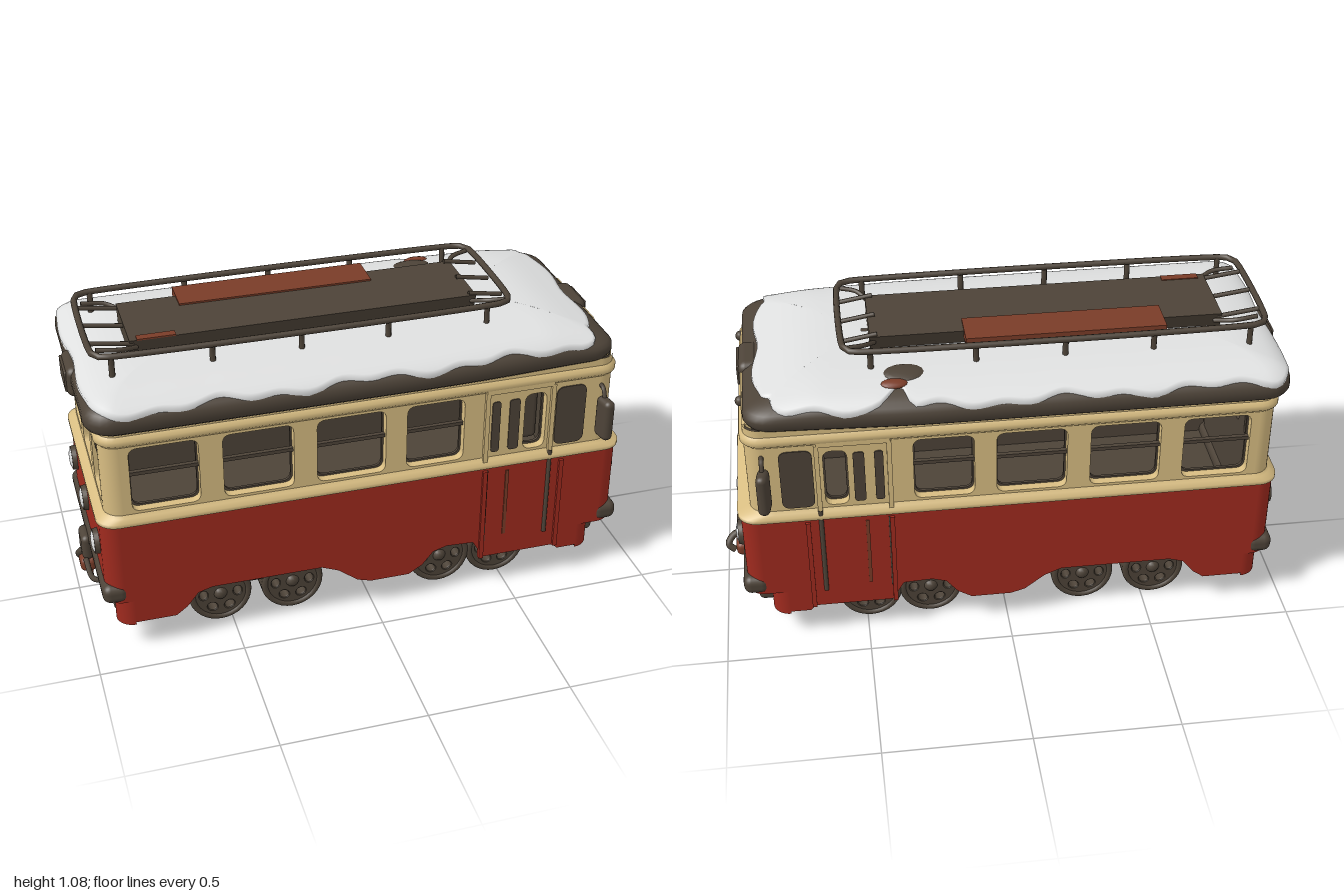
import * as THREE from 'three';
import { RoundedBoxGeometry } from 'three/addons/geometries/RoundedBoxGeometry.js';

const paint = (name, color, side = THREE.FrontSide) => {
  const m = new THREE.MeshStandardMaterial({ color, side });
  m.name = name;
  return m;
};

export function createModel() {
  const red = paint('red', 0x9f2a1e), cream = paint('cream', 0xd8bd82);
  const dark = paint('dark brown', 0x4d4338, THREE.DoubleSide);
  const snow = paint('snow white', 0xdfe0e0), rust = paint('rust', 0x7a3c28);
  const model = new THREE.Group();
  model.name = 'tram';

  const add = (name, geo, mat, x = 0, y = 0, z = 0) => {
    const m = new THREE.Mesh(geo, mat);
    m.name = name;
    m.position.set(x, y, z);
    model.add(m);
    return m;
  };
  const box = (name, mat, x0, x1, y0, y1, z0, z1, r = 0) => {
    const s = [x1 - x0, y1 - y0, z1 - z0];
    const g = r ? new RoundedBoxGeometry(...s, 3, r) : new THREE.BoxGeometry(...s);
    return add(name, g, mat, (x0 + x1) / 2, (y0 + y1) / 2, (z0 + z1) / 2);
  };
  const tube = (name, pts, r, mat = dark, closed = false) => add(name, new THREE.TubeGeometry(
    new THREE.CatmullRomCurve3(pts.map(p => new THREE.Vector3(...p)), closed, 'centripetal'),
    pts.length * 6, r, 8, closed), mat);
  const roundRect = (x0, x1, y0, y1, r, g = 0) => {
    x0 -= g; x1 += g; y0 -= g; y1 += g;
    const p = new THREE.Shape();
    p.moveTo(x0 + r, y0); p.lineTo(x1 - r, y0); p.quadraticCurveTo(x1, y0, x1, y0 + r);
    p.lineTo(x1, y1 - r); p.quadraticCurveTo(x1, y1, x1 - r, y1);
    p.lineTo(x0 + r, y1); p.quadraticCurveTo(x0, y1, x0, y1 - r);
    p.lineTo(x0, y0 + r); p.quadraticCurveTo(x0, y0, x0 + r, y0);
    return p;
  };
  const panel = (pts, holes, depth, grow = 0) => {
    const s = new THREE.Shape(pts.map(p => new THREE.Vector2(...p)));
    s.holes = holes.map(h => roundRect(...h, 0.03, grow));
    return new THREE.ExtrudeGeometry(s, { depth, bevelEnabled: false, curveSegments: 6 });
  };
  const rect = (x0, x1, y0, y1) => [[x0, y0], [x1, y0], [x1, y1], [x0, y1]];

  // Rounded-rectangle plan, as points running from +x towards +z
  const ring = (x0, x1, hz, r) => {
    const corners = [[x1 - r, hz - r], [x0 + r, hz - r], [x0 + r, r - hz], [x1 - r, r - hz]];
    const out = [];
    corners.forEach(([cx, cz], k) => {
      for (let i = 0; i <= 6; i++) {
        const a = (k + i / 6) * Math.PI / 2;
        out.push([cx + r * Math.cos(a), cz + r * Math.sin(a)]);
      }
      const [nx, nz] = corners[(k + 1) % 4], a = (k + 1) * Math.PI / 2, n = k % 2 ? 16 : 70;
      const [px, pz] = out[out.length - 1];
      const qx = nx + r * Math.cos(a), qz = nz + r * Math.sin(a);
      for (let i = 1; i < n; i++) out.push([px + (qx - px) * i / n, pz + (qz - pz) * i / n]);
    });
    return out;
  };
  const loft = rows => {
    const n = rows[0].length, idx = [];
    for (let j = 0; j < rows.length - 1; j++) for (let i = 0; i < n; i++) {
      const a = j * n + i, c = j * n + (i + 1) % n;
      idx.push(a, a + n, c, a + n, c + n, c);
    }
    const g = new THREE.BufferGeometry();
    g.setAttribute('position', new THREE.Float32BufferAttribute(rows.flat(2), 3));
    g.setIndex(idx);
    g.computeVertexNormals();
    return g;
  };

  // Side walls with a skirt cut around the bogies; the upper wall is set back
  const winY = [0.56, 0.8];
  const sideWins = [[-0.83, -0.6], [-0.52, -0.28], [-0.2, 0.04], [0.115, 0.32]].map(w => [...w, ...winY]);
  const sideHoles = [...sideWins, [0.54, 0.62, 0.56, 0.78]];
  const skirt = [[-0.88, 0.2], [-0.85, 0.2], [-0.85, 0.11], [-0.71, 0.11], [-0.67, 0.14], [-0.63, 0.19], [-0.58, 0.205],
    [-0.19, 0.205], [-0.13, 0.18], [-0.06, 0.125], [-0.01, 0.11], [0.13, 0.11], [0.18, 0.14], [0.22, 0.19], [0.27, 0.205],
    [0.37, 0.2], [0.41, 0.13], [0.68, 0.13], [0.7, 0.11], [0.77, 0.11], [0.77, 0.2], [0.85, 0.2], [0.85, 0.515], [-0.88, 0.515]];
  for (const s of [1, -1]) {
    const wall = (name, geo, mat, outer, depth) => add(name, geo, mat, 0, 0, s > 0 ? outer - depth : -outer);
    wall('lowerSide', panel(skirt, [], 0.03), red, 0.39, 0.03);
    wall('lowerLining', panel(skirt, [], 0.01), dark, 0.359, 0.01);
    wall('upperSide', panel(rect(-0.86, 0.815, 0.515, 0.88), sideHoles, 0.03), cream, 0.38, 0.03);
    wall('upperLining', panel(rect(-0.86, 0.815, 0.515, 0.88), sideHoles, 0.01, -0.006), dark, 0.349, 0.01);
    for (const [x0, x1] of sideWins)
      box('sideWindowBar', dark, x0, x1, 0.69, 0.703, s * 0.36 - 0.008, s * 0.36 + 0.008);

    // Folding door and cab window
    const plate = (name, mat, x0, x1, y0, y1, t, z) => box(name, mat, x0, x1, y0, y1, s * z - t / 2, s * z + t / 2);
    for (const [x, w] of [[0.435, 0.015], [0.502, 0.019]])
      wall('doorSlit', new THREE.ExtrudeGeometry(roundRect(x - w, x + w, 0.57, 0.77, 0.012),
        { depth: 0.006, bevelEnabled: false }), dark, 0.384, 0.006);
    wall('cabWindow', new THREE.ExtrudeGeometry(roundRect(0.655, 0.765, 0.56, 0.79, 0.03),
      { depth: 0.006, bevelEnabled: false }), dark, 0.384, 0.006);
    plate('doorHeader', cream, 0.395, 0.64, 0.805, 0.822, 0.024, 0.38);
    for (const x of [0.4, 0.685])
      plate('doorPostLower', red, x - 0.008, x + 0.008, 0.13, 0.5, 0.02, 0.39);
    for (const x of [0.4, 0.64])
      plate('doorPostUpper', cream, x - 0.008, x + 0.008, 0.53, 0.81, 0.024, 0.38);
    plate('doorSeam', rust, 0.478, 0.49, 0.22, 0.49, 0.008, 0.39);
    plate('doorEdge', dark, 0.408, 0.412, 0.2, 0.5, 0.008, 0.39);
    tube('doorRail', [[0.64, 0.2, s * 0.392], [0.64, 0.55, s * 0.392]], 0.008);
    // Mirror on a bent arm
    const mirror = add('mirror', new RoundedBoxGeometry(0.04, 0.155, 0.075, 4, 0.019), dark, 0.82, 0.668, s * 0.428);
    mirror.rotation.y = s * 0.15;
    tube('mirrorArm', [[0.82, 0.775, s * 0.375], [0.82, 0.77, s * 0.4], [0.82, 0.73, s * 0.42]], 0.008);
  }

  // End walls, lamps, bumpers and couplers
  const endHoles = [[-0.31, -0.155], [-0.1, 0.1], [0.155, 0.31]].map(w => [...w, 0.565, 0.79]);
  const endTop = [[-0.32, 0.515], [0.32, 0.515], [0.32, 0.87], [0.22, 0.9], [0.16, 0.92], [-0.16, 0.92], [-0.22, 0.9], [-0.32, 0.87]];
  for (const s of [1, -1]) {
    const low = s > 0 ? 0.91 : -0.94, up = s > 0 ? 0.875 : -0.92;
    const span = (X, a, b) => (s > 0 ? [X + a, X + b] : [X - b, X - a]);
    const end = (name, geo, mat, X, d0, d1) => add(name, geo.rotateY(Math.PI / 2), mat, span(X, d0, d1)[0], 0, 0);
    end('lowerEnd', panel(rect(-0.33, 0.33, 0.2, 0.515), [], 0.03), red, low, -0.03, 0);
    end('upperEnd', panel(endTop, endHoles, 0.03), cream, up, -0.03, 0);
    end('endLining', panel(rect(-0.33, 0.33, 0.2, 0.88), endHoles, 0.01, -0.006), dark, up, -0.041, -0.031);
    for (const [a, b] of endHoles)
      box('endWindowBar', dark, ...span(up, -0.025, -0.01), 0.692, 0.706, a, b);
    for (const z of [-0.27, 0, 0.27]) {
      const rim = add('headlightRim', new THREE.CylinderGeometry(0.043, 0.048, 0.03, 24), dark, low + s * 0.003, 0.39, z);
      rim.rotation.z = -s * Math.PI / 2;
      const lens = add('headlightLens', new THREE.SphereGeometry(0.037, 20, 8, 0, Math.PI * 2, 0, Math.PI / 2), snow, low + s * 0.017, 0.39, z);
      lens.rotation.z = -s * Math.PI / 2;
      lens.scale.y = 0.25;
    }
    const boxOut = s > 0 ? 0.008 : 0.055;
    box('destinationBox', dark, ...span(up, -0.07, boxOut), 0.84, 0.95, -0.085, 0.085, 0.028);
    box('destinationPane', dark, ...span(up, boxOut - 0.006, boxOut + 0.005), 0.86, 0.935, -0.065, 0.065, 0.005);
    for (const [z, m, r] of [[0.24, dark, 0.018], [0.14, rust, 0.015], [-0.18, dark, 0.018]])
      add('markerLamp', new THREE.SphereGeometry(r, 12, 8), m, up + s * 0.004, 0.872, z);
    box('bumper', dark, ...span(low, -0.075, 0.014), 0.2, 0.27, -0.395, 0.395, 0.028);
    box('endBeam', dark, ...span(low, -0.14, -0.03), 0.095, 0.21, -0.3, 0.3, 0.02);
    box('couplerHead', dark, ...span(low, 0, 0.04), 0.15, 0.25, -0.05, 0.05, 0.02);
    box('couplerHook', rust, ...span(low, -0.01, 0.05), 0.1, 0.155, -0.05, 0.05, 0.02);
    const at = d => low + s * d, reach = s > 0 ? 0.077 : 0.047;
    tube('couplerArm', [[at(0), 0.18, 0], [at(reach * 0.7), 0.17, 0], [at(reach), 0.14, -0.02], [at(reach * 0.7), 0.12, -0.03]], 0.013);
    tube('couplerHose', [[at(-0.02), 0.17, 0.2], [at(0.02), 0.14, 0.14], [at(0.03), 0.16, 0.05]], 0.01);
    tube('couplerPin', [[at(0.01), 0.12, 0], [at(0.01), 0.045, 0]], 0.006, rust);
    // Rounded corner posts, with the skirt corner set back below the bumper
    for (const t of [1, -1]) {
      const q = s > 0 ? (t > 0 ? 0 : 1) : (t > 0 ? 3 : 2);
      const post = (name, mat, r, y0, y1, X, z) => add(name, new THREE.CylinderGeometry(r, r, y1 - y0, 8, 1, true,
        q * Math.PI / 2, Math.PI / 2), mat, X - s * 0.06, (y0 + y1) / 2, t * z);
      const skirtX = s > 0 ? 0.83 : -0.91;
      post('skirtCorner', red, 0.06, 0.1, 0.22, skirtX, 0.33);
      post('skirtCornerLining', dark, 0.05, 0.1, 0.22, skirtX, 0.33);
      post('lowerCorner', red, 0.06, 0.2, 0.515, low, 0.33);
      post('lowerCornerLining', dark, 0.05, 0.2, 0.515, low, 0.33);
      post('upperCorner', cream, 0.06, 0.515, 0.88, up, 0.32);
      post('upperCornerLining', dark, 0.05, 0.515, 0.88, up, 0.32);
    }
  }
  box('driverConsole', dark, 0.74, 0.83, 0.24, 0.61, -0.29, -0.15, 0.02);
  box('floor', dark, -0.9, 0.87, 0.195, 0.23, -0.355, 0.355);

  // Belt ledge stepping in to the upper body, and the crown moulding
  const lowRing = (o, y) => ring(-0.94 - o, 0.91 + o, 0.39 + o, 0.06 + o).map(([x, z]) => [x, y, z]);
  const upRing = (o, y) => ring(-0.92 - o, 0.875 + o, 0.38 + o, 0.06 + o).map(([x, z]) => [x, y, z]);
  add('beltLedge', loft([lowRing(0, 0.508), lowRing(0.01, 0.514), lowRing(0.01, 0.528), upRing(0.008, 0.54), upRing(0, 0.55)]), cream);
  add('crownMoulding', loft([upRing(0, 0.81), upRing(0.012, 0.822), upRing(0.012, 0.84), upRing(0, 0.852)]), cream);

  // Domed roof, drooping at the front, with a snow cover that ends in a wavy edge
  const dome = new THREE.SplineCurve([[0.045, 0.855], [0.005, 0.885], [0, 0.925], [0.03, 0.957], [0.09, 0.98], [0.2, 0.995], [0.419, 1.0]]
    .map(p => new THREE.Vector2(...p)));
  const roofRow = (tOf, lift) => ring(-0.96, 0.87, 0.42, 0.09).map(([x, z], i) => {
    const p = dome.getPoint(tOf(x, z));
    const inset = Math.max(p.x, 0) - lift;
    const r = Math.max(0.09 - inset * 0.5, 0.0005) * (1 - Math.max(p.x, 0) / 0.42);
    const [rx, rz] = ring(-0.96 + inset, 0.87 - inset, 0.42 - inset, r)[i];
    const droop = 0.25 * Math.max(p.y - 0.9, 0) * THREE.MathUtils.smoothstep(rx, 0.6, 0.85);
    return [rx, p.y + lift - droop, rz * (1 - 0.06 * THREE.MathUtils.smoothstep(rx, 0.2, 0.87))];
  });
  const steps = [...Array(15).keys()].map(i => i / 14);
  add('roof', loft(steps.map(k => roofRow(() => k, 0))), dark);
  const snowEdge = (x, z) => 0.4 + 0.04 * Math.sin(x * 13 + z * 5) + 0.035 * Math.sin(x * 31 - z * 17)
    + 0.18 * THREE.MathUtils.smoothstep(x, 0.72, 0.85) + (z < 0 ? 0.26 * Math.exp(-(((x - 0.37) / 0.04) ** 2)) : 0);
  add('snowCover', loft(steps.map(k => roofRow((x, z) => {
    const e = snowEdge(x, z);
    return e + (1 - e) * k;
  }, k ? 0.007 : -0.002))), snow);
  const patch = (name, mat, x, y, z, a, b) => {
    const m = add(name, new THREE.SphereGeometry(1, 16, 8), mat, x, y, z);
    m.scale.set(a, 0.012, b);
    m.rotation.x = -0.12;
  };
  patch('barePatch', dark, 0.335, 0.995, -0.27, 0.07, 0.045);
  patch('rustPatch', rust, 0.37, 0.988, -0.32, 0.045, 0.024);

  // Roof rack and walkway
  const rackLoop = (name, x0, x1, hz, y, r) => {
    const pts = [];
    for (const [cx, cz, q] of [[x1, hz, 0], [x0, hz, 1], [x0, -hz, 2], [x1, -hz, 3]])
      for (let i = 0; i <= 3; i++) {
        const a = (q + i / 3) * Math.PI / 2;
        pts.push([cx - Math.sign(cx - (x0 + x1) / 2) * 0.05 + 0.05 * Math.cos(a), y, cz - Math.sign(cz) * 0.05 + 0.05 * Math.sin(a)]);
      }
    tube(name, pts, r, dark, true);
  };
  rackLoop('rackRail', -0.9, 0.53, 0.238, 1.068, 0.011);
  for (const s of [1, -1]) {
    for (const x of [-0.84, -0.51, -0.21, 0.09, 0.44])
      tube('rackLeg', [[x, 1.066, s * 0.236], [x, 1.03, s * 0.232], [x, 0.98, s * 0.235]], 0.01);
    tube('rackBrace', [[-0.88, 1.06, s * 0.17], [-0.8, 1.05, s * 0.17], [-0.74, 1.03, s * 0.13]], 0.008);
    tube('rackBrace', [[0.52, 1.062, s * 0.2], [0.46, 1.055, s * 0.18], [0.42, 1.035, s * 0.13]], 0.008);
  }
  for (const [x0, x1] of [[-0.9, -0.75], [0.41, 0.53]])
    for (const z of [-0.13, 0, 0.13]) tube('rackCrossbar', [[x0, 1.066, z], [x1, 1.045, z]], 0.008);
  const deck = new THREE.BoxGeometry(1.2, 0.06, 0.28), dp = deck.attributes.position;
  for (let i = 0; i < dp.count; i++) if (dp.getY(i) < 0) dp.setZ(i, dp.getZ(i) * 0.85);
  deck.computeVertexNormals();
  add('walkway', deck, dark, -0.165, 1.03, 0);
  box('rustedPlank', rust, -0.56, 0.12, 1.035, 1.066, -0.2, -0.065);
  box('rustStain', rust, -0.74, -0.61, 1.058, 1.063, 0.11, 0.14);

  // Wheels with cut-outs, and the bogie links between them
  const disc = new THREE.Shape().absarc(0, 0, 0.108, 0, Math.PI * 2);
  for (let i = 0; i < 6; i++) {
    const a = i * Math.PI / 3;
    disc.holes.push(new THREE.Path().absellipse(0.061 * Math.cos(a), 0.061 * Math.sin(a), 0.018, 0.021, 0, Math.PI * 2, false, a));
  }
  const wheelGeo = new THREE.ExtrudeGeometry(disc, { depth: 0.1, bevelSize: 0.004, bevelThickness: 0.008, bevelSegments: 2, curveSegments: 24 });
  for (const x of [-0.54, -0.28, 0.27, 0.485]) for (const s of [1, -1]) {
    add('wheel', wheelGeo, dark, x, 0.115, s > 0 ? 0.21 : -0.31);
    add('wheelRim', new THREE.TorusGeometry(0.1, 0.012, 8, 32), dark, x, 0.115, s * 0.313);
    add('wheelHub', new THREE.SphereGeometry(0.026, 14, 8), dark, x, 0.115, s * 0.308);
  }
  for (const x of [-0.41, 0.375]) for (const s of [1, -1])
    box('bogieLink', dark, x - 0.09, x + 0.09, 0.14, 0.2, s * 0.29 - 0.03, s * 0.29 + 0.03, 0.015);
  return model;
}
